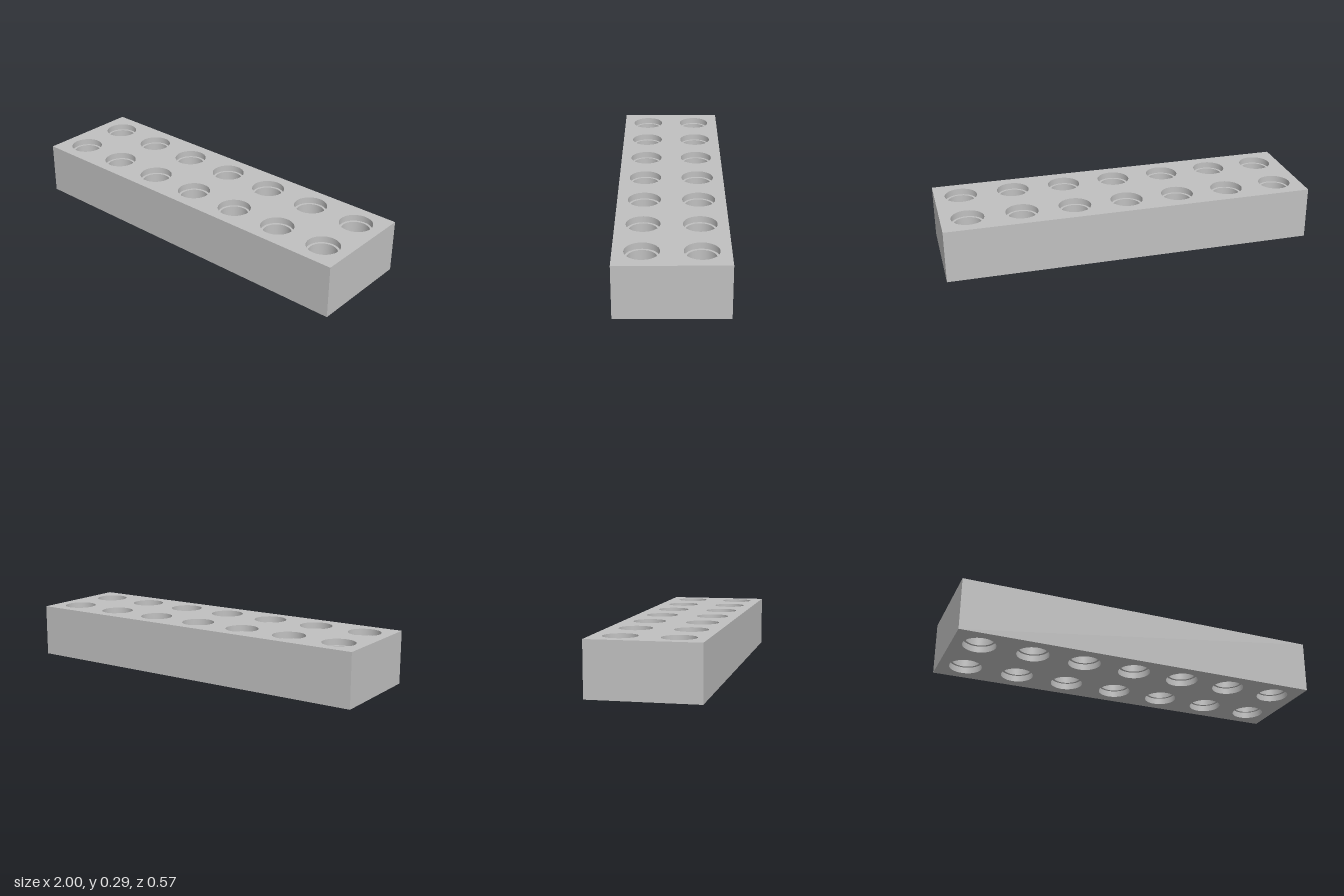
import * as THREE from 'three';
import { mergeGeometries } from 'three/addons/utils/BufferGeometryUtils.js';

const COLS = 7, ROWS = 2;
const PITCH = 2 / COLS;
const W = COLS * PITCH, H = PITCH, D = ROWS * PITCH;
const R = 0.087, INNER = 0.074, STEP = 0.034; // counterbore radius, bore radius, counterbore depth

export function createModel() {
  const grey = new THREE.MeshStandardMaterial({ color: 0xc0c0c0 });
  grey.name = 'light grey';
  const group = new THREE.Group();
  group.name = 'perforatedBlock';
  const add = (name, geometry) => {
    const mesh = new THREE.Mesh(geometry, grey);
    mesh.name = name;
    group.add(mesh);
    return mesh;
  };

  const centres = [];
  for (let i = 0; i < COLS; i++)
    for (let j = 0; j < ROWS; j++)
      centres.push([(i - (COLS - 1) / 2) * PITCH, (j - (ROWS - 1) / 2) * PITCH]);

  // Four outer walls: a box without its top and bottom
  const walls = new THREE.BoxGeometry(W, H, D).translate(0, H / 2, 0);
  const index = Array.from(walls.index.array);
  index.splice(12, 12);
  walls.setIndex(index);
  walls.clearGroups();
  add('outerWalls', walls);

  // Perforated top and bottom faces
  const plate = new THREE.Shape([
    new THREE.Vector2(-W / 2, -D / 2), new THREE.Vector2(W / 2, -D / 2),
    new THREE.Vector2(W / 2, D / 2), new THREE.Vector2(-W / 2, D / 2),
  ]);
  for (const [x, z] of centres)
    plate.holes.push(new THREE.Path().absarc(x, z, R, 0, Math.PI * 2, true));
  add('topFace', new THREE.ShapeGeometry(plate, 24).rotateX(-Math.PI / 2).translate(0, H, 0));
  add('bottomFace', new THREE.ShapeGeometry(plate, 24).rotateX(Math.PI / 2));

  // Stepped hole lining: one lathe per segment keeps the ledges crisp
  const profile = [[R, H], [R, H - STEP], [INNER, H - STEP], [INNER, STEP], [R, STEP], [R, 0]]
    .map(([x, y]) => new THREE.Vector2(x, y));
  const lining = mergeGeometries(
    profile.slice(1).map((p, i) => new THREE.LatheGeometry([profile[i], p], 48)));
  for (const [x, z] of centres) add('holeLining', lining).position.set(x, 0, z);

  return group;
}
